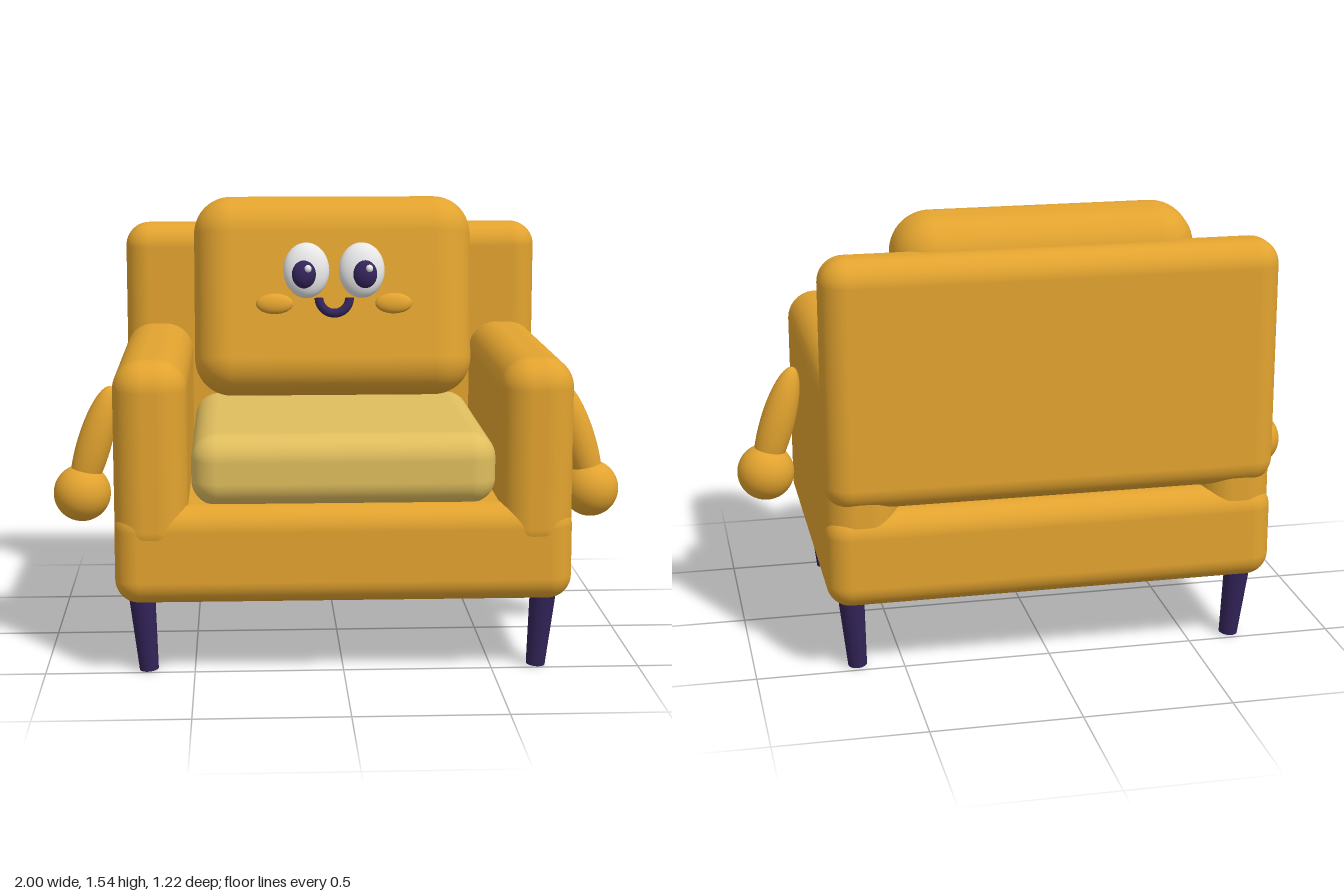
import * as THREE from 'three';
import { RoundedBoxGeometry } from 'three/addons/geometries/RoundedBoxGeometry.js';

const paint = (name, color) => {
  const m = new THREE.MeshStandardMaterial({ color });
  m.name = name;
  return m;
};

export function createModel() {
  const orange = paint('orange upholstery', 0xe2a32f);
  const yellow = paint('pale yellow cushion', 0xe0be5e);
  const purple = paint('dark purple', 0x33245a);
  const white = paint('eye white', 0xf0f0f0);

  const model = new THREE.Group();
  model.name = 'armchair';

  const add = (parent, name, geometry, material, x, y, z) => {
    const mesh = new THREE.Mesh(geometry, material);
    mesh.name = name;
    mesh.position.set(x, y, z);
    parent.add(mesh);
    return mesh;
  };
  // rounded block given by its extents
  const block = (name, material, [x0, x1], [y0, y1], [z0, z1], r) =>
    add(model, name, new RoundedBoxGeometry(x1 - x0, y1 - y0, z1 - z0, 8, r), material,
      (x0 + x1) / 2, (y0 + y1) / 2, (z0 + z1) / 2);
  const ellipsoid = (parent, name, material, x, y, z, rx, ry, rz) =>
    add(parent, name, new THREE.SphereGeometry(1, 40, 28).scale(rx, ry, rz), material, x, y, z);

  // upholstered body
  block('base', orange, [-0.76, 0.76], [0.25, 0.58], [-0.6, 0.605], 0.08);
  block('backrest', orange, [-0.76, 0.76], [0.59, 1.43], [-0.61, -0.41], 0.085);
  block('seatCushion', yellow, [-0.505, 0.505], [0.57, 0.81], [-0.42, 0.575], 0.085);

  for (const s of [-1, 1]) {
    const side = s > 0 ? 'left' : 'right';
    const xs = [0.515 * s, 0.76 * s].sort((a, b) => a - b);
    block(side + 'Armrest', orange, xs, [0.4, 1.062], [-0.59, 0.608], 0.1);

    // little arm with a ball hand
    const arm = ellipsoid(model, side + 'Arm', orange, 0.855 * s, 0.695, 0.075, 0.06, 0.22, 0.06);
    arm.rotation.z = s * 0.297;
    ellipsoid(model, side + 'Hand', orange, 0.898 * s, 0.527, 0.075, 0.1, 0.1, 0.1);

    // tapered legs leaning inwards at the foot
    for (const f of [-1, 1]) {
      const top = new THREE.Vector3(0.677 * s, 0.3, f > 0 ? 0.485 : -0.477);
      const foot = new THREE.Vector3(0.655 * s, 0.001, f > 0 ? 0.463 : -0.453);
      const axis = top.clone().sub(foot);
      const leg = add(model, side + (f > 0 ? 'Front' : 'Back') + 'Leg',
        new THREE.CylinderGeometry(0.046, 0.032, axis.length(), 28), purple,
        ...top.clone().add(foot).multiplyScalar(0.5).toArray());
      leg.quaternion.setFromUnitVectors(new THREE.Vector3(0, 1, 0), axis.normalize());
    }
  }

  // leaning back cushion carrying the face
  const head = new THREE.Group();
  head.name = 'backCushionWithFace';
  head.position.set(0, 1.17, -0.33);
  head.rotation.x = -THREE.MathUtils.degToRad(10);
  model.add(head);
  add(head, 'backCushion', new RoundedBoxGeometry(1.01, 0.727, 0.3, 10, 0.135), orange, 0, 0, 0);

  for (const s of [-1, 1]) {
    const side = s > 0 ? 'left' : 'right';
    ellipsoid(head, side + 'Eye', white, 0.1 * s, 0.084, 0.15, 0.083, 0.1, 0.05);
    ellipsoid(head, side + 'Pupil', purple, 0.11 * s, 0.066, 0.193, 0.043, 0.05, 0.031);
    ellipsoid(head, side + 'EyeGlint', white, 0.11 * s + 0.014, 0.084, 0.218, 0.013, 0.014, 0.013);
    ellipsoid(head, side + 'Cheek', orange, 0.215 * s, -0.036, 0.15, 0.067, 0.037, 0.022);
  }

  // smile: lower half ring with closed ends
  const smile = add(head, 'smile', new THREE.TorusGeometry(0.055, 0.016, 16, 32, Math.PI), purple, 0, -0.016, 0.153);
  smile.rotation.z = Math.PI;
  for (const s of [-1, 1]) {
    const cap = add(head, 'smileEnd', new THREE.CircleGeometry(0.016, 20), purple, 0.055 * s, -0.016, 0.153);
    cap.rotation.x = -Math.PI / 2;
  }

  return model;
}
